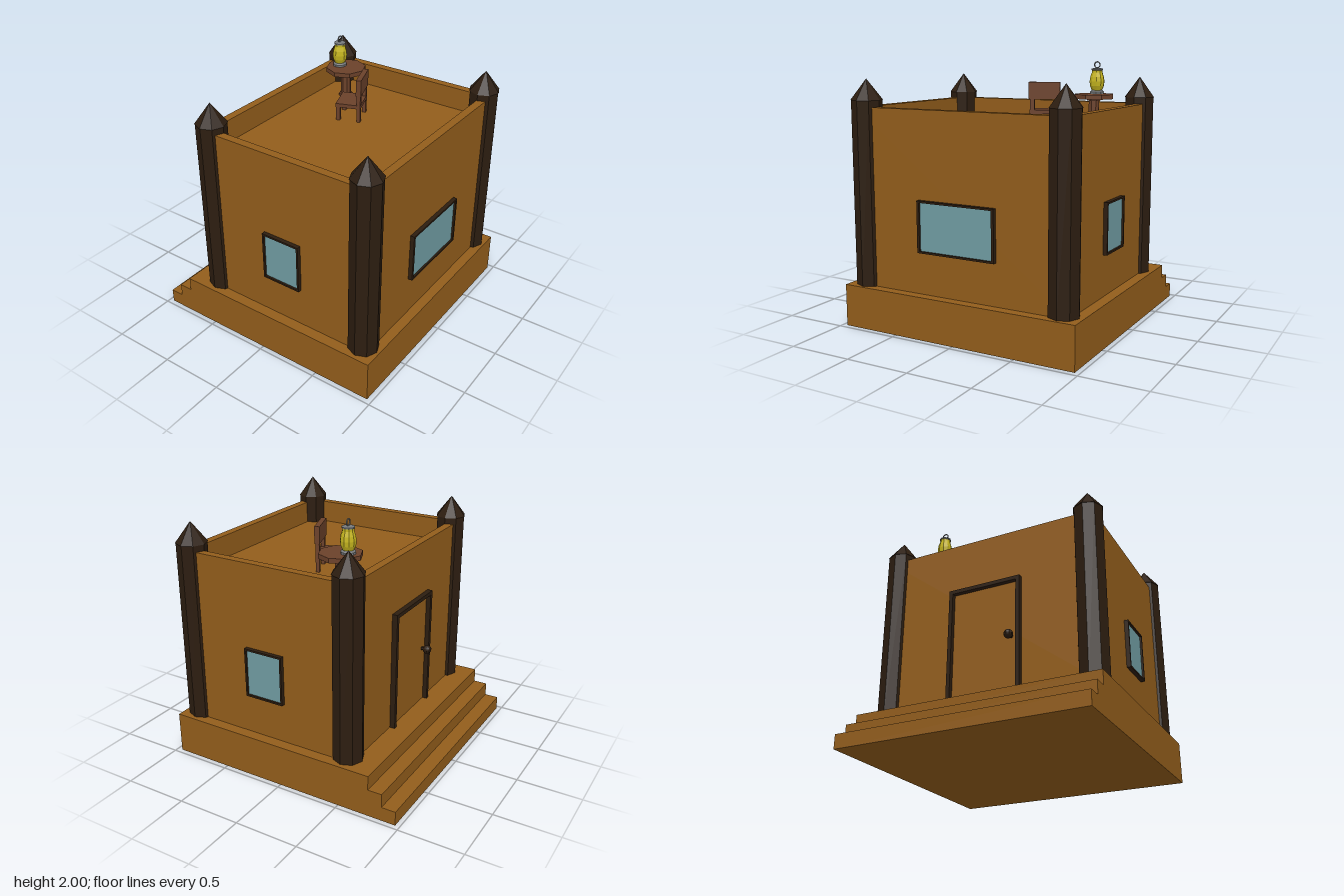
import * as THREE from 'three';

const mat = (color, opts = {}) => new THREE.MeshStandardMaterial({ color, flatShading: true, ...opts });
const CLAY = mat(0x925d1b), DARK = mat(0x2c1d10), GLASS = mat(0x709ca2);
const WOOD = mat(0x6b412a), METAL = mat(0x777a7c), YELLOW = mat(0xc4b41e);

function add(parent, name, geometry, material, x = 0, y = 0, z = 0) {
  const mesh = new THREE.Mesh(geometry, material);
  mesh.name = name;
  mesh.position.set(x, y, z);
  parent.add(mesh);
  return mesh;
}

// Box given by its minimum and maximum corners
function block(parent, name, material, [x0, y0, z0], [x1, y1, z1]) {
  return add(parent, name, new THREE.BoxGeometry(x1 - x0, y1 - y0, z1 - z0), material,
    (x0 + x1) / 2, (y0 + y1) / 2, (z0 + z1) / 2);
}

// Octagonal prism standing on y, with corners on the x and z axes
const octagon = (parent, name, material, r, y0, y1, x = 0, z = 0) =>
  add(parent, name, new THREE.CylinderGeometry(r, r, y1 - y0, 8), material, x, (y0 + y1) / 2, z);

// Rectangular shape centred on the origin
function rect(w, h, Type = THREE.Shape) {
  return new Type([[-1, -1], [1, -1], [1, 1], [-1, 1]].map(([x, y]) => new THREE.Vector2(x * w / 2, y * h / 2)));
}

// Framed window facing +z before rotation
function makeWindow(w, bar) {
  const g = new THREE.Group();
  const h = 0.385;
  g.name = 'window';
  const shape = rect(w, h);
  shape.holes.push(rect(w - 2 * bar, h - 2 * 0.014, THREE.Path));
  add(g, 'windowFrame', new THREE.ExtrudeGeometry(shape, { depth: 0.035, bevelEnabled: false }), DARK);
  add(g, 'windowPane', new THREE.BoxGeometry(w - 2 * bar, h - 0.028, 0.02), GLASS, 0, 0, 0.01);
  return g;
}

function makeTable() {
  const g = new THREE.Group();
  g.name = 'table';
  octagon(g, 'tableTop', WOOD, 0.16, 0.215, 0.25);
  octagon(g, 'tableCollar', WOOD, 0.056, 0.2, 0.215);
  octagon(g, 'tablePost', WOOD, 0.042, 0, 0.2);
  octagon(g, 'tableFoot', WOOD, 0.056, 0, 0.02);
  return g;
}

function makeLantern() {
  const g = new THREE.Group();
  g.name = 'lantern';
  const lathe = (name, pts, m) => add(g, name,
    new THREE.LatheGeometry(pts.map(p => new THREE.Vector2(...p)), 10), m);
  lathe('lanternBase', [[0, 0], [0.055, 0], [0.055, 0.016], [0.042, 0.028], [0, 0.028]], METAL);
  lathe('lanternGlass', [[0.04, 0.026], [0.055, 0.06], [0.059, 0.095], [0.054, 0.13], [0.042, 0.165], [0.042, 0.182]], YELLOW);
  lathe('lanternCap', [[0.04, 0.18], [0.047, 0.183], [0.047, 0.193], [0.03, 0.198], [0, 0.199]], METAL);
  const ring = add(g, 'lanternRing', new THREE.TorusGeometry(0.023, 0.005, 6, 16), METAL, 0, 0.223, 0);
  ring.rotation.y = Math.PI / 2;
  return g;
}

// Chair with its back on the +x side
function makeChair() {
  const g = new THREE.Group();
  g.name = 'chair';
  block(g, 'chairSeat', WOOD, [-0.095, 0.11, -0.112], [0.1, 0.14, 0.112]);
  for (const s of [-1, 1]) {
    add(g, 'frontLeg', new THREE.BoxGeometry(0.032, 0.11, 0.032), WOOD, -0.076, 0.055, s * 0.093);
    add(g, 'backPost', new THREE.BoxGeometry(0.028, 0.3, 0.034), WOOD, 0.085, 0.15, s * 0.093);
  }
  block(g, 'chairBack', WOOD, [0.065, 0.22, -0.119], [0.105, 0.35, 0.119]);
  return g;
}

export function createModel() {
  const model = new THREE.Group();
  model.name = 'house';

  // Stepped plinth, with the steps along the right side
  const steps = new THREE.Shape([[0.96, 0], [0.96, 0.325], [-0.745, 0.325], [-0.745, 0.215],
    [-0.855, 0.215], [-0.855, 0.11], [-0.965, 0.11], [-0.965, 0]].map(p => new THREE.Vector2(...p)));
  add(model, 'steppedPlinth', new THREE.ExtrudeGeometry(steps, { depth: 1.926, bevelEnabled: false }), CLAY, 0, 0, -0.963);

  // Walls rising past the flat roof as a parapet
  const ring = rect(1.445, 1.756);
  ring.holes.push(rect(1.315, 1.626, THREE.Path));
  const walls = add(model, 'walls', new THREE.ExtrudeGeometry(ring, { depth: 1.35, bevelEnabled: false }), CLAY, 0.16, 0.325, 0);
  walls.rotation.x = -Math.PI / 2;
  block(model, 'roofFloor', CLAY, [-0.51, 1.44, -0.83], [0.83, 1.5, 0.83]);

  // Corner pillars with pointed caps
  for (const x of [-0.502, 0.825]) {
    for (const z of [-0.816, 0.816]) {
      octagon(model, 'pillar', DARK, 0.115, 0.325, 1.725, x, z);
      add(model, 'pillarCap', new THREE.ConeGeometry(0.12, 0.157, 8), DARK, x, 1.803, z);
    }
  }

  // Windows on the front, back and left side
  for (const [w, bar, x, z, turn] of [
    [0.32, 0.014, 0.16, 0.875, 0],
    [0.32, 0.014, 0.16, -0.875, Math.PI],
    [0.64, 0.02, 0.88, 0, Math.PI / 2],
  ]) {
    const win = makeWindow(w, bar);
    win.position.set(x, 0.833, z);
    win.rotation.y = turn;
    model.add(win);
  }

  // Door on the right side
  const door = new THREE.Group();
  door.name = 'door';
  model.add(door);
  for (const s of [-1, 1]) {
    add(door, 'doorPost', new THREE.BoxGeometry(0.045, 0.935, 0.03), DARK, -0.582, 0.7925, s * 0.28);
  }
  add(door, 'doorLintel', new THREE.BoxGeometry(0.045, 0.03, 0.59), DARK, -0.582, 1.245, 0);
  block(door, 'doorPanel', CLAY, [-0.568, 0.325, -0.266], [-0.55, 1.231, 0.266]);
  add(door, 'doorKnob', new THREE.SphereGeometry(0.035, 10, 8), DARK, -0.615, 0.79, 0.215);
  const stem = add(door, 'knobStem', new THREE.CylinderGeometry(0.015, 0.015, 0.04, 8), DARK, -0.575, 0.79, 0.215);
  stem.rotation.z = Math.PI / 2;

  // Rooftop furniture
  const place = (part, x, y, z, turn = 0) => {
    part.position.set(x, y, z);
    part.rotation.y = turn;
    model.add(part);
  };
  place(makeTable(), -0.27, 1.5, -0.53);
  place(makeLantern(), -0.33, 1.75, -0.528);
  place(makeChair(), -0.02, 1.5, -0.24, THREE.MathUtils.degToRad(20));

  return model;
}
